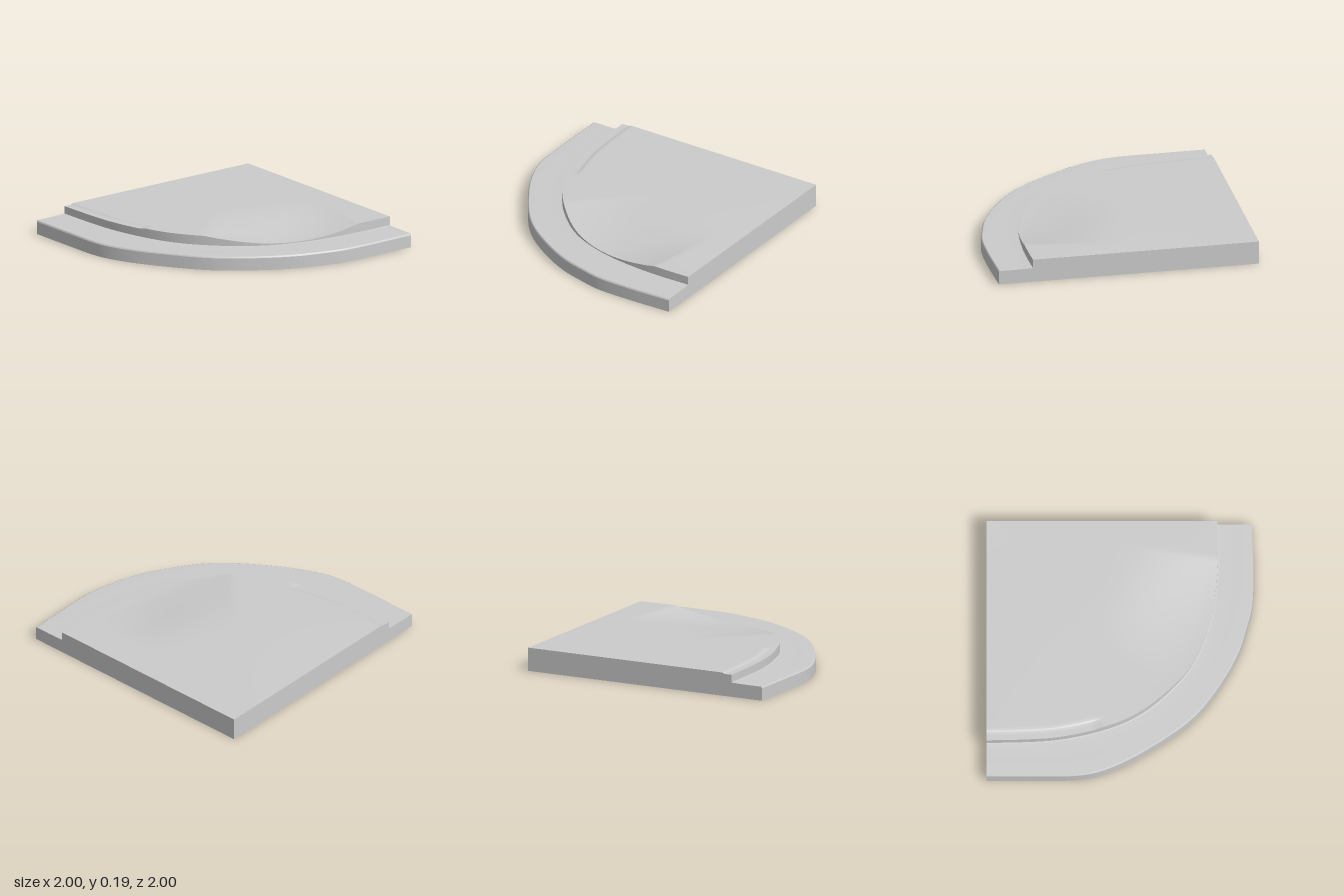
import * as THREE from 'three';

const material = new THREE.MeshStandardMaterial({ color: 0xcccccc, side: THREE.DoubleSide });
const STEPS = 96;

// Plan curves (x, z) running from the back edge round to the right edge
const plan = (pts) => new THREE.CatmullRomCurve3(
  pts.map(([x, z]) => new THREE.Vector3(x, 0, z)), false, 'centripetal');
const outer = plan([[-1, -1], [-1, -0.65], [-0.995, -0.32], [-0.97, -0.18], [-0.9, 0], [-0.8, 0.18],
  [-0.6, 0.47], [-0.45, 0.62], [-0.2, 0.79], [0, 0.89], [0.2, 0.95], [0.35, 0.985], [0.6, 0.995], [1, 0.985]]);
const inner = plan([[-0.74, -1], [-0.735, -0.75], [-0.72, -0.5], [-0.685, -0.3], [-0.64, -0.13], [-0.58, 0.03],
  [-0.48, 0.2], [-0.33, 0.37], [-0.15, 0.52], [0.05, 0.62], [0.3, 0.69], [0.6, 0.725], [0.8, 0.73], [1, 0.725]]);

// Smooth surface through rows of points: point(i, j)
function grid(name, ni, nj, point) {
  const pos = [], index = [];
  for (let i = 0; i <= ni; i++) {
    for (let j = 0; j <= nj; j++) {
      pos.push(...point(i, j).toArray());
      if (i === ni || j === nj) continue;
      const a = i * (nj + 1) + j, b = a + nj + 1;
      index.push(a, b, a + 1, b, b + 1, a + 1);
    }
  }
  const geo = new THREE.BufferGeometry();
  geo.setAttribute('position', new THREE.Float32BufferAttribute(pos, 3));
  geo.setIndex(index);
  geo.computeVertexNormals();
  const mesh = new THREE.Mesh(geo, material);
  mesh.name = name;
  return mesh;
}

// Point at fraction t from the outer curve to the inner curve
const between = (i, t, y) =>
  outer.getPointAt(i / STEPS).lerp(inner.getPointAt(i / STEPS), t).setY(y);

// Upper deck: slightly crowned, sagging to the lower step along its curved front
const corner = new THREE.Vector3(1, 0, -1);
function deckPoint(i, s) {
  const edge = inner.getPointAt(i / STEPS);
  const sag = 0.063 * Math.max(0, 1 - ((edge.x - 0.14) / 0.56) ** 2);
  const fade = s < 0.42 ? 0.5 + 0.5 * Math.cos(Math.PI * s / 0.42) : 0;
  const p = edge.lerp(corner, s);
  const crown = 0.008 * Math.max(0, 1 - p.x * p.x) * Math.max(0, 1 - p.z * p.z);
  // shallow gutter along the left edge, ending in a little ramp
  const end = THREE.MathUtils.smoothstep(-p.z, 0.13, 0.19);
  const gutter = 0.009 * end * (1 - THREE.MathUtils.smoothstep(s, 0.035, 0.045));
  return p.setY(0.178 + crown - sag * fade - gutter);
}

// Section stations of each band
const deckS = [0, 0.008, 0.02, 0.035, 0.04, 0.045, 0.06, 0.1, 0.15, 0.2, 0.25, 0.3, 0.35, 0.4, 0.45, 0.55, 0.7, 0.85, 1];
const ledge = [[0, 0.094], [0.015, 0.104], [0.04, 0.107], [0.5, 0.107], [0.94, 0.109], [1, 0.112]];

export function createModel() {
  const model = new THREE.Group();
  model.name = 'steppedCornerPlatform';

  const wallPoint = (i, j) => between(i, 0, j * 0.094);
  const ledgePoint = (i, j) => between(i, ...ledge[j]);
  const riserPoint = (i, j) => (j ? deckPoint(i, 0) : between(i, 1, 0.112));
  const topPoint = (i, j) => deckPoint(i, deckS[j]);
  model.add(
    grid('outerWall', STEPS, 1, wallPoint),
    grid('lowerStep', STEPS, ledge.length - 1, ledgePoint),
    grid('riser', STEPS, 1, riserPoint),
    grid('upperDeck', STEPS, deckS.length - 1, topPoint));

  // Flat cut walls closing the two straight sides
  const section = (i) => [...ledge.map((_, j) => ledgePoint(i, j)), ...deckS.map((_, j) => topPoint(i, j))];
  const cutWall = (name, pts) => grid(name, pts.length - 1, 1,
    (i, j) => (j ? pts[i].clone() : pts[i].clone().setY(0)));
  model.add(
    cutWall('backWall', section(0).reverse()),
    cutWall('rightWall', section(STEPS)));

  return model;
}
